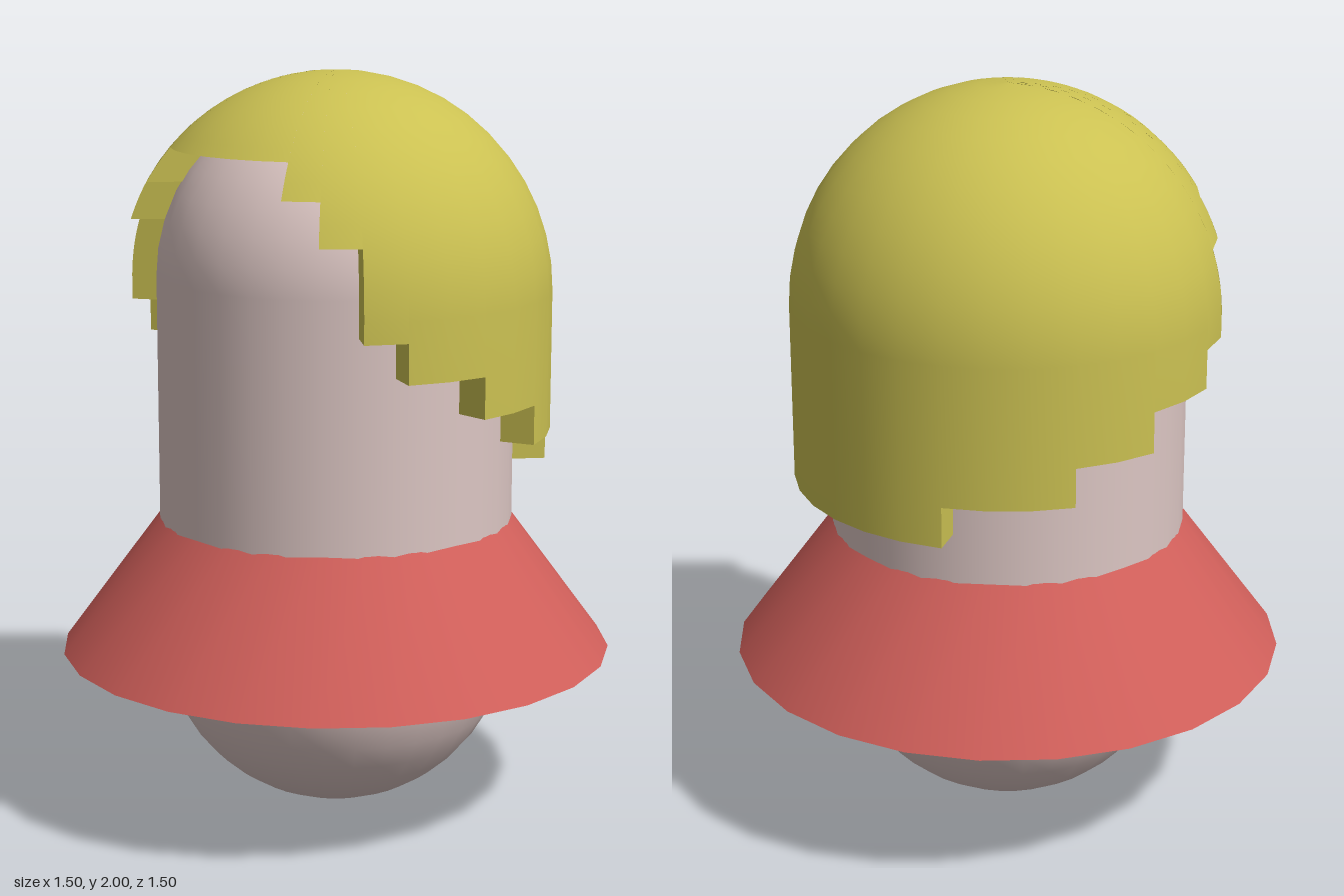
import * as THREE from 'three';
import { mergeGeometries } from 'three/addons/utils/BufferGeometryUtils.js';

const STEP = Math.PI / 16;      // hair is laid out on 32 columns
const DOME = 1.42;              // height of the hair dome's centre
const OUTER = 0.58, INNER = 0.485;

// Hair locks from the fringe to the nape: [first column, last column, hem height]
const LOCKS = [
  [0, 3, 1.8], [3, 4, 1.71], [4, 5, 1.6], [5, 6, 1.365],
  [6, 8, 1.26], [8, 10, 1.15], [10, 13, 1.045], [13, 16, 0.935],
];

// Outline of a dome on a cylinder between two heights, bottom to top
function profile(radius, low, high) {
  const points = [];
  const angle = y => Math.asin(THREE.MathUtils.clamp((y - DOME) / radius, 0, 1));
  if (low < DOME) points.push(new THREE.Vector2(radius, low));
  const a = angle(low), b = angle(high);
  if (b > a) {
    for (let i = 0; i <= 12; i++) {
      const t = a + (b - a) * i / 12;
      points.push(new THREE.Vector2(Math.max(0, radius * Math.cos(t)), DOME + radius * Math.sin(t)));
    }
  } else points.push(new THREE.Vector2(radius, high));
  return points;
}

// Outer skin, hem and inner skin of one lock
function lock(start, end, hem) {
  const outer = profile(OUTER, hem, 3);
  const inner = profile(INNER, hem, 3).reverse();
  const rim = [inner[inner.length - 1], outer[0]];
  return [outer, rim, inner].map(points =>
    new THREE.LatheGeometry(points, end - start, start * STEP, (end - start) * STEP));
}

// Vertical face where a longer lock meets a shorter one
function stepWall(column, low, high) {
  const outline = [...profile(OUTER, low, high), ...profile(INNER, low, high).reverse()];
  return new THREE.ShapeGeometry(new THREE.Shape(outline)).rotateY(column * STEP - Math.PI / 2);
}

function createHair() {
  const parts = [];
  LOCKS.forEach(([start, end, hem], i) => {
    parts.push(...lock(start, end, hem), ...lock(-end, -start, hem));
    if (i > 0) {
      const above = LOCKS[i - 1][2];
      parts.push(stepWall(start, hem, above), stepWall(-start, hem, above));
    }
  });
  return mergeGeometries(parts);
}

export function createModel() {
  const group = new THREE.Group();
  const add = (name, geometry, color, side = THREE.FrontSide) => {
    const mesh = new THREE.Mesh(geometry, new THREE.MeshStandardMaterial({ color, side }));
    mesh.name = name;
    group.add(mesh);
    return mesh;
  };

  // Capsule body, rounded at both ends
  const body = add('body', new THREE.CapsuleGeometry(0.48, 0.98, 10, 32), 0xdcc6c3);
  body.position.y = 0.97;

  // Open flared skirt
  const skirt = add('skirt',
    new THREE.CylinderGeometry(0.48, 0.75, 0.365, 24, 1, true), 0xd05f5a, THREE.DoubleSide);
  skirt.position.y = 0.6175;

  // Thick bowl of hair with a stepped hem
  add('hair', createHair(), 0xcbc152, THREE.DoubleSide);

  return group;
}
